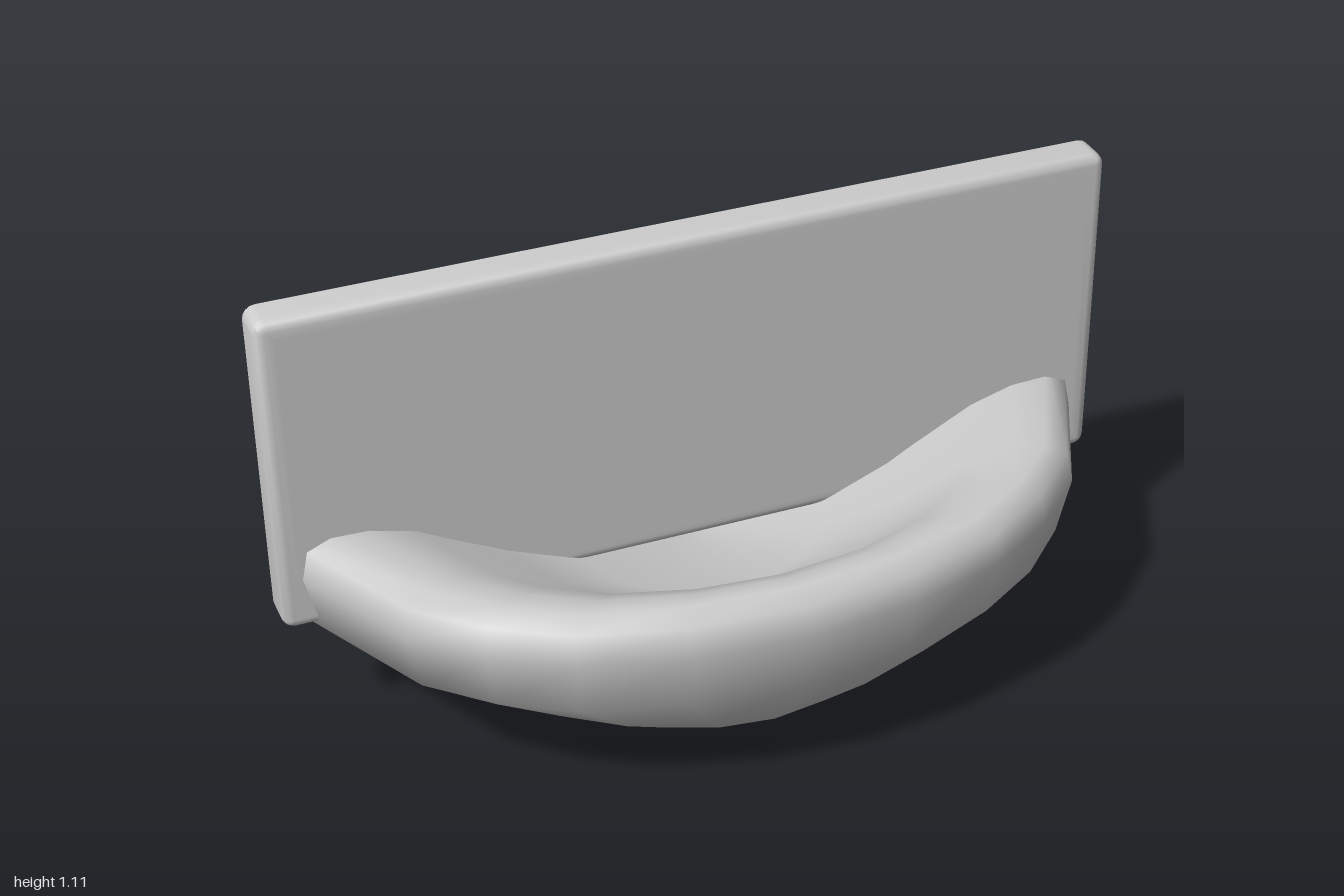
import * as THREE from 'three';
import { toCreasedNormals } from 'three/addons/utils/BufferGeometryUtils.js';

const BACK = -0.355;
const material = new THREE.MeshStandardMaterial({ color: 0xcccccc, side: THREE.DoubleSide });

// Skin a list of equal-length rings; closed rings wrap around
function loft(rings, closed) {
  const n = rings[0].length, index = [];
  for (let i = 0; i < rings.length - 1; i++) {
    for (let j = 0; j < (closed ? n : n - 1); j++) {
      const a = i * n + j, b = i * n + (j + 1) % n;
      index.push(a, b, b + n, a, b + n, a + n);
    }
  }
  const geometry = new THREE.BufferGeometry();
  geometry.setAttribute('position', new THREE.Float32BufferAttribute(rings.flat(2), 3));
  geometry.setIndex(index);
  geometry.computeVertexNormals();
  return geometry;
}

// Rounded rectangle of the back plate, pulled in by an inset
function plateRing(inset, z) {
  const w = 1, y0 = 0.32, y1 = 1.11, r = 0.03, ring = [];
  const corner = Math.max(r - inset, 0), d = Math.max(inset, r);
  [[1, y1], [-1, y1], [-1, y0], [1, y0]].forEach(([sx, y], k) => {
    const cx = sx * (w - d), cy = y === y1 ? y1 - d : y0 + d;
    for (let s = 0; s <= 4; s++) {
      const t = (k + s / 4) * Math.PI / 2;
      ring.push([cx + corner * Math.cos(t), cy + corner * Math.sin(t), z]);
    }
  });
  return ring;
}

// Back plate: hollow panel, open behind, with softened front edges
function makePlate() {
  const front = -0.268, rings = [plateRing(0, BACK)];
  for (let s = 0; s <= 4; s++) {
    const t = s / 4 * Math.PI / 2;
    rings.push(plateRing(0.025 * (1 - Math.cos(t)), front - 0.025 * (1 - Math.sin(t))));
  }
  rings.push(plateRing(0.045, front));
  rings.push(rings[0].map(() => [0, 0.715, front]));
  return toCreasedNormals(loft(rings, true), 0.6);
}

// Bowl: one half-plan outline scaled level by level, up the outside,
// over the rim and down to the middle of the basin floor
function makeBowl() {
  const half = [[0.99, BACK], [0.8, 0.03], [0.665, 0.16], [0.5, 0.26], [0.26, 0.33], [0, 0.355]];
  const plan = [...half.map(([x, z]) => [-x, z]), ...half.slice(0, -1).reverse()];
  const levels = [ // height, width scale, depth scale
    [0, 0, 0], [0.02, 0.265, 0.545], [0.09, 0.5, 0.73], [0.19, 0.72, 0.87], [0.31, 0.965, 0.97],
    [0.45, 1, 1], [0.52, 0.985, 0.98], [0.543, 0.93, 0.91],
    [0.54, 0.84, 0.85], [0.51, 0.73, 0.77], [0.4, 0.51, 0.63], [0.33, 0.33, 0.45], [0.285, 0, 0],
  ];
  return loft(levels.map(([y, sx, sz]) =>
    plan.map(([x, z]) => [x * sx, y, BACK + (z - BACK) * sz])), false);
}

export function createModel() {
  const model = new THREE.Group();
  model.name = 'wallBasin';
  for (const [name, geometry] of [['backPlate', makePlate()], ['bowl', makeBowl()]]) {
    const mesh = new THREE.Mesh(geometry, material);
    mesh.name = name;
    model.add(mesh);
  }
  return model;
}
